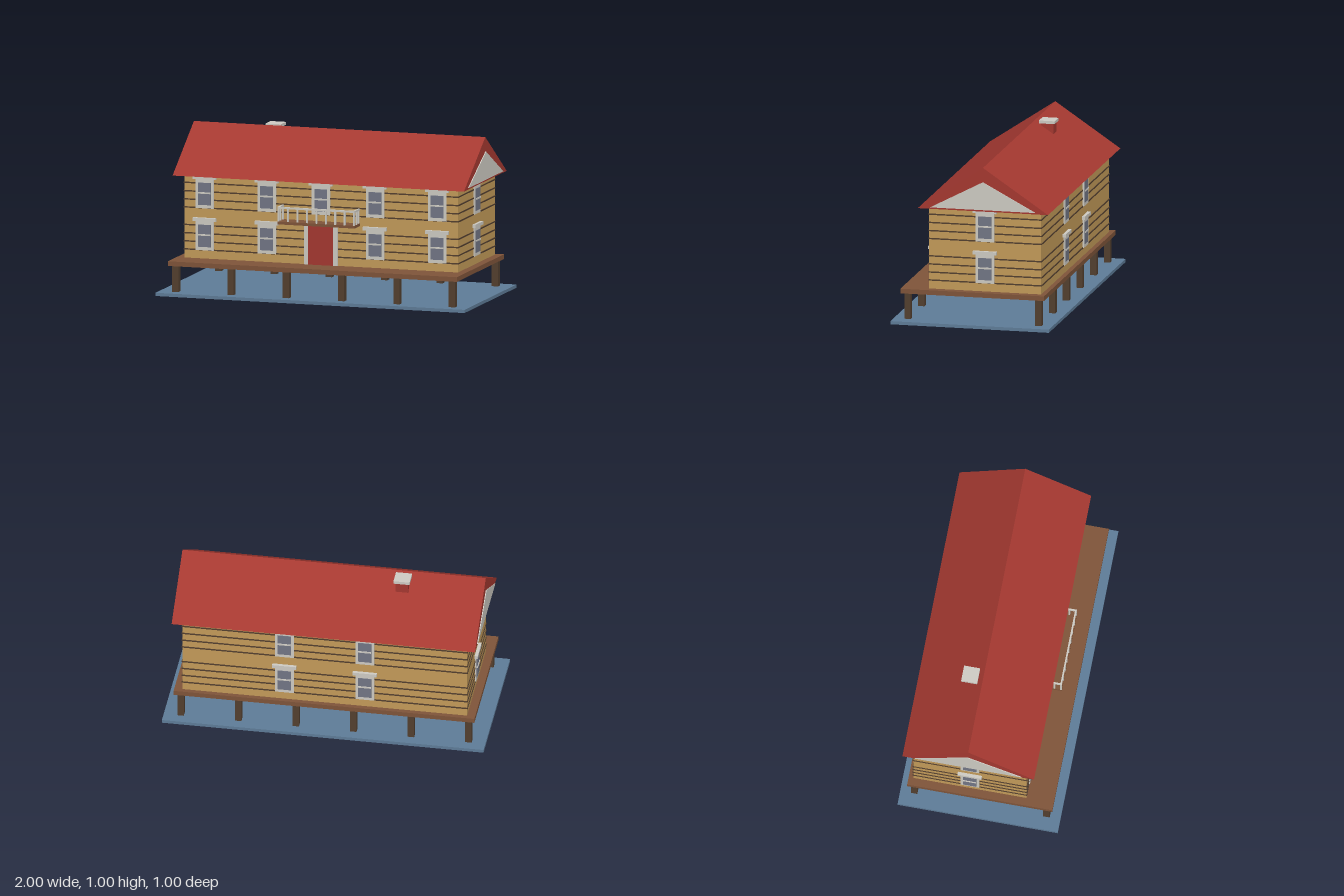
import * as THREE from 'three';

const mat = (name, color) => {
  const m = new THREE.MeshStandardMaterial({ color });
  m.name = name;
  return m;
};

export function createModel() {
  const water = mat('slate blue', 0x5f7d99);
  const deckWood = mat('deck brown', 0x80553a);
  const darkWood = mat('dark wood', 0x54402f);
  const logs = mat('honey wood', 0xc59c5a);
  const red = mat('barn red', 0xa63931);
  const trim = mat('pale trim', 0xd0cdc5);
  const glass = mat('grey glass', 0x737786);

  const house = new THREE.Group();
  house.name = 'stiltHouse';

  const add = (parent, name, geometry, material) => {
    const mesh = new THREE.Mesh(geometry, material);
    mesh.name = name;
    parent.add(mesh);
    return mesh;
  };
  // Box given by its two extremes on every axis
  const box = (parent, name, material, x0, x1, y0, y1, z0, z1) => {
    const mesh = add(parent, name, new THREE.BoxGeometry(x1 - x0, y1 - y0, z1 - z0), material);
    mesh.position.set((x0 + x1) / 2, (y0 + y1) / 2, (z0 + z1) / 2);
    return mesh;
  };
  const group = (name) => {
    const g = new THREE.Group();
    g.name = name;
    house.add(g);
    return g;
  };

  const WX = 0.885, ZF = 0.283, ZB = -0.424, ZC = -0.07;

  // Ground slab, stilts and deck
  box(house, 'groundSlab', water, -1, 1, 0, 0.02, -0.5, 0.5);
  for (let i = 0; i < 6; i++) {
    const x = -0.895 + i * 0.358;
    for (const z of [-0.413, 0.413]) {
      box(house, 'stilt', darkWood, x - 0.02, x + 0.02, 0.02, 0.184, z - 0.02, z + 0.02);
    }
  }
  box(house, 'deck', deckWood, -0.935, 0.935, 0.183, 0.212, -0.453, 0.453);

  // Log walls with dark seams running right round
  box(house, 'walls', logs, -WX, WX, 0.212, 0.728, ZB, ZF);
  for (const y of [0.266, 0.316, 0.367, 0.418, 0.527, 0.577, 0.628, 0.68]) {
    box(house, 'logSeam', darkWood, -WX - 0.004, WX + 0.004, y - 0.004, y + 0.004, ZB - 0.004, ZF + 0.004);
  }

  // Windows: built facing +z at the wall plane, then turned to their wall
  const addWindow = (x, y, z, turn) => {
    const w = group('window');
    box(w, 'windowTrim', trim, -0.059, 0.059, 0, 0.182, -0.005, 0.008);
    box(w, 'windowGlass', glass, -0.041, 0.041, 0.021, 0.159, 0.004, 0.012);
    box(w, 'windowBar', trim, -0.041, 0.041, 0.091, 0.101, 0.008, 0.016);
    box(w, 'windowLintel', trim, -0.075, 0.075, 0.181, 0.202, -0.005, 0.02);
    w.position.set(x, y, z);
    w.rotation.y = turn;
  };
  for (const y of [0.264, 0.525]) {
    for (const x of [-0.753, -0.35, 0.35, 0.753]) addWindow(x, y, ZF, 0);
    for (const x of [-0.25, 0.25]) addWindow(x, y, ZB, Math.PI);
    for (const s of [-1, 1]) addWindow(s * WX, y, ZC, s * Math.PI / 2);
  }
  addWindow(0, 0.525, ZF, 0);

  // Front door
  box(house, 'doorFrame', trim, -0.108, 0.108, 0.212, 0.472, ZF - 0.005, ZF + 0.008);
  box(house, 'door', red, -0.08, 0.08, 0.213, 0.455, ZF, ZF + 0.016);

  // Balcony with railing
  const balcony = group('balcony');
  const BX = 0.25, BZ = 0.383;
  box(balcony, 'balconyFloor', deckWood, -BX, BX, 0.467, 0.484, ZF, BZ);
  box(balcony, 'frontRail', trim, -BX, BX, 0.564, 0.576, BZ - 0.01, BZ);
  for (let i = 0; i < 9; i++) {
    const x = -0.245 + i * 0.06125;
    box(balcony, 'baluster', trim, x - 0.005, x + 0.005, 0.484, 0.565, BZ - 0.01, BZ);
  }
  for (const s of [-1, 1]) {
    const x = s * 0.245;
    box(balcony, 'sideRail', trim, x - 0.005, x + 0.005, 0.564, 0.576, ZF, BZ - 0.01);
    for (const z of [0.295, 0.337]) {
      box(balcony, 'sideBaluster', trim, x - 0.005, x + 0.005, 0.484, 0.565, z - 0.005, z + 0.005);
    }
  }

  // Gable prism running along x, centred on the ridge
  const prism = (name, material, halfZ, y0, y1, x0, x1) => {
    const shape = new THREE.Shape();
    shape.moveTo(-halfZ, y0);
    shape.lineTo(halfZ, y0);
    shape.lineTo(0, y1);
    const g = new THREE.ExtrudeGeometry(shape, { depth: x1 - x0, bevelEnabled: false });
    g.rotateY(Math.PI / 2).translate(x0, 0, ZC);
    return add(house, name, g, material);
  };
  prism('roof', red, 0.411, 0.727, 1.002, -0.943, 0.943);
  prism('rightGablePanel', trim, 0.332, 0.737, 0.912, -0.948, -0.942);
  prism('leftGablePanel', trim, 0.332, 0.737, 0.912, 0.942, 0.948);

  // Chimney
  box(house, 'chimney', red, -0.48, -0.4, 0.88, 0.988, -0.19, -0.11);
  box(house, 'chimneyCap', trim, -0.49, -0.39, 0.987, 1.005, -0.2, -0.1);

  return house;
}
